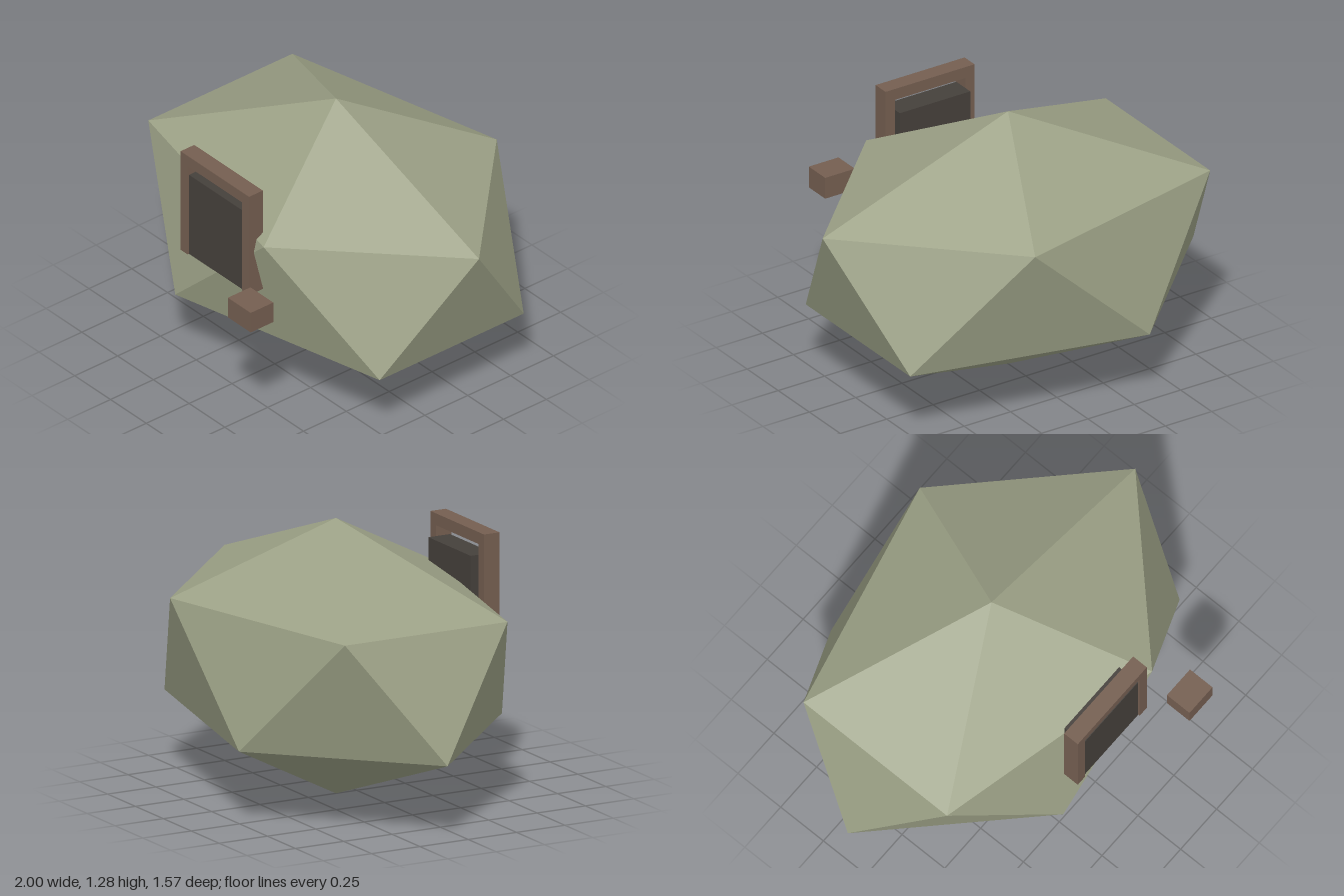
import * as THREE from 'three';

const shellMat = new THREE.MeshStandardMaterial({ name: 'sage shell', color: 0x9ca186 });
const woodMat = new THREE.MeshStandardMaterial({ name: 'brown trim', color: 0x745e50 });
const doorMat = new THREE.MeshStandardMaterial({ name: 'dark door', color: 0x45403b });

// Box given by its extents on each axis
function box(name, mat, [x0, x1], [y0, y1], [z0, z1]) {
  const mesh = new THREE.Mesh(new THREE.BoxGeometry(x1 - x0, y1 - y0, z1 - z0), mat);
  mesh.position.set((x0 + x1) / 2, (y0 + y1) / 2, (z0 + z1) / 2);
  mesh.name = name;
  return mesh;
}

// Stretched twenty-sided hull: two poles and two opposed rings of five
function hullGeometry(rx, ry, rz) {
  const h = ry / Math.sqrt(5);
  const ring = (i, sign) => {
    const a = (i * 2 * Math.PI) / 5;
    return new THREE.Vector3(sign * rx * Math.cos(a), sign * h, sign * rz * Math.sin(a));
  };
  const top = new THREE.Vector3(0, ry, 0);
  const bottom = new THREE.Vector3(0, -ry, 0);
  const points = [];
  for (let i = 0; i < 5; i++) {
    const u0 = ring(i, 1), u1 = ring(i + 1, 1);
    // the lower corner halfway between u0 and u1, and the next one along
    const l0 = ring(i + 3, -1), l1 = ring(i + 4, -1);
    points.push(top, u1, u0, u0, u1, l0, u1, l1, l0, bottom, l0, l1);
  }
  const geo = new THREE.BufferGeometry().setFromPoints(points);
  geo.computeVertexNormals();
  return geo;
}

export function createModel() {
  const model = new THREE.Group();
  model.name = 'facetedShelter';

  const hull = new THREE.Mesh(hullGeometry(1, 0.638, 0.715), shellMat);
  hull.name = 'hull';
  hull.position.set(0, 0.642, -0.107);
  model.add(hull);

  // Doorway: two posts, a lintel and the door panel
  const doorway = new THREE.Group();
  doorway.name = 'doorway';
  const depth = [0.52, 0.6];
  doorway.add(
    box('leftPost', woodMat, [0.19, 0.24], [0.645, 1.12], depth),
    box('rightPost', woodMat, [-0.24, -0.19], [0.645, 1.12], depth),
    box('lintel', woodMat, [-0.24, 0.24], [1.12, 1.175], depth),
    box('door', doorMat, [-0.19, 0.19], [0.645, 1.07], [0.48, 0.592])
  );
  model.add(doorway);

  // Loose block beside the door
  model.add(box('block', woodMat, [0.315, 0.475], [0.645, 0.75], [0.655, 0.787]));
  return model;
}
